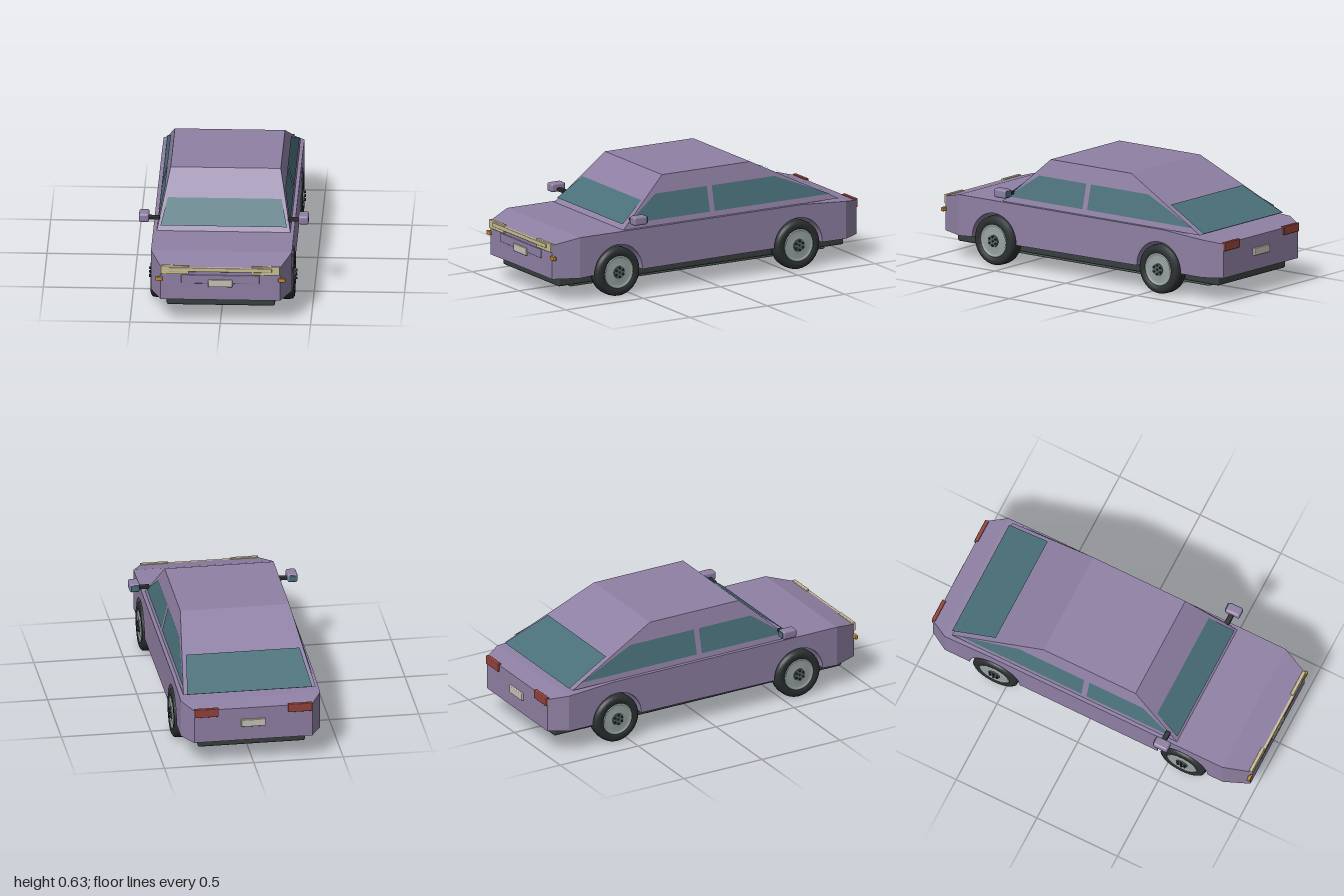
import * as THREE from 'three';
import { RoundedBoxGeometry } from 'three/addons/geometries/RoundedBoxGeometry.js';

const mat = (name, color, side = THREE.FrontSide) => {
  const m = new THREE.MeshStandardMaterial({ color, side });
  m.name = name;
  return m;
};

export function createModel() {
  const car = new THREE.Group();
  car.name = 'car';
  const paint = mat('purple paint', 0x8f80a4);
  const glass = mat('teal glass', 0x4a707a, THREE.DoubleSide);
  const rubber = mat('black rubber', 0x2b3030);
  const dark = mat('dark underbody', 0x383f3e);
  const steel = mat('floor plate', 0x56625f);
  const alloy = mat('grey alloy', 0x98a2a2);
  const cream = mat('cream lamp', 0xc9be94);
  const white = mat('number plate', 0xc6c3b6);
  const orange = mat('orange indicator', 0xc88a38);
  const red = mat('red lamp', 0x94423a);

  const add = (name, geo, material, parent = car) => {
    const m = new THREE.Mesh(geo, material);
    m.name = name;
    parent.add(m);
    return m;
  };
  // Rounded block given by its extents
  const block = (name, material, [x0, x1], [y0, y1], [z0, z1], r = 0.004) => {
    const m = add(name, new RoundedBoxGeometry(x1 - x0, y1 - y0, z1 - z0, 2, r), material);
    m.position.set((x0 + x1) / 2, (y0 + y1) / 2, (z0 + z1) / 2);
    return m;
  };
  // Six-sided solid: rule maps each box corner sign to a point
  const hexa = (rule) => {
    const g = new THREE.BoxGeometry(2, 2, 2).toNonIndexed();
    const p = g.attributes.position;
    for (let i = 0; i < p.count; i++) p.setXYZ(i, ...rule(p.getX(i), p.getY(i) > 0, p.getZ(i) > 0));
    g.computeVertexNormals();
    return g;
  };
  // Flat four-cornered pane
  const pane = (name, corners) => {
    const g = new THREE.BufferGeometry();
    g.setAttribute('position', new THREE.Float32BufferAttribute(corners.flat(), 3));
    g.setIndex([0, 1, 2, 0, 2, 3]);
    g.computeVertexNormals();
    return add(name, g, glass);
  };

  // Lower body with wheel arches
  const axles = [-0.57, 0.593], bottom = 0.135;
  const side = new THREE.Shape();
  side.moveTo(-0.88, bottom);
  for (const z of axles) {
    side.lineTo(z - 0.155, bottom);
    side.absarc(z, 0.14, 0.155, Math.PI, 0, true);
  }
  side.lineTo(0.84, bottom);
  side.lineTo(0.84, 0.367);
  side.lineTo(-0.6, 0.367);
  side.lineTo(-0.88, 0.348);
  const body = new THREE.ExtrudeGeometry(side, { depth: 0.78, bevelEnabled: false, curveSegments: 24 });
  body.rotateY(-Math.PI / 2).translate(0.39, 0, 0);
  add('body', body, paint);

  // Tapered nose and tail
  add('nose', hexa((x, up, front) => front
    ? [x * 0.33, up ? 0.328 : bottom, 0.985]
    : [x * 0.39, up ? 0.367 : bottom, 0.84]), paint);
  add('tail', hexa((x, up, front) => front
    ? [x * 0.39, up ? 0.348 : bottom, -0.88]
    : [x * 0.33, up ? 0.328 : bottom, -0.982]), paint);

  // Cabin
  add('cabin', hexa((x, up, front) => up
    ? [x * 0.305, 0.632, front ? 0.26 : -0.31]
    : [x * 0.37, 0.366, front ? 0.55 : -0.845]), paint);

  // Windscreen, rear window and side windows
  pane('windscreen', [[-0.35, 0.395, 0.542], [0.35, 0.395, 0.542], [0.315, 0.507, 0.4], [-0.315, 0.507, 0.4]]);
  pane('rearWindow', [[0.35, 0.372, -0.855], [-0.35, 0.372, -0.855], [-0.318, 0.497, -0.6], [0.318, 0.497, -0.6]]);
  const sideX = (y) => 0.374 - (y - 0.366) * 0.065 / 0.266;
  for (const s of [-1, 1]) {
    const sidePane = (name, pts) => pane(name, pts.map(([z, y]) => [s * sideX(y), y, z]));
    sidePane('frontSideWindow', [[0.517, 0.398], [-0.013, 0.398], [-0.013, 0.537], [0.319, 0.537]]);
    sidePane('rearSideWindow', [[-0.045, 0.398], [-0.79, 0.398], [-0.45, 0.537], [-0.045, 0.537]]);
  }

  // Underbody
  block('underbody', dark, [-0.3, 0.3], [0.077, 0.15], [-0.92, 0.925], 0.012);
  block('floorPlate', steel, [-0.26, 0.26], [0.055, 0.09], [-0.825, 0.825], 0.012);

  // Front and rear fittings
  block('grilleBar', cream, [-0.285, 0.285], [0.304, 0.328], [0.975, 1]);
  block('frontPanel', paint, [-0.217, 0.217], [0.232, 0.282], [0.975, 0.99]);
  block('frontNumberPlate', white, [-0.068, 0.068], [0.214, 0.257], [0.98, 0.997]);
  block('rearNumberPlate', white, [-0.068, 0.068], [0.218, 0.26], [-0.995, -0.975]);
  for (const s of [-1, 1]) {
    const span = (a, b) => (s > 0 ? [a, b] : [-b, -a]);
    block('headlight', cream, span(0.175, 0.33), [0.287, 0.337], [0.975, 0.995]);
    block('indicator', orange, span(0.32, 0.36), [0.246, 0.268], [0.975, 0.995]);
    block('tailLight', red, span(0.195, 0.33), [0.288, 0.337], [-0.992, -0.97]);
    // Door mirrors
    block('mirrorStalk', rubber, span(0.355, 0.425), [0.414, 0.432], [0.475, 0.505]);
    block('mirrorHousing', paint, span(0.413, 0.47), [0.408, 0.458], [0.45, 0.537], 0.012);
    block('mirrorGlass', glass, span(0.42, 0.463), [0.415, 0.451], [0.446, 0.452], 0.002);
  }

  // Wheels
  const lathe = (pts) => new THREE.LatheGeometry(pts.map(([r, a]) => new THREE.Vector2(r, a)), 32);
  const tyre = lathe([[0, -0.044], [0.122, -0.044], [0.136, -0.034], [0.139, -0.015], [0.139, 0.015],
    [0.136, 0.034], [0.122, 0.044], [0.094, 0.044], [0.09, 0.03]]);
  const rim = lathe([[0.094, 0.03], [0.092, 0.042], [0.084, 0.042], [0.076, 0.034], [0.042, 0.042], [0, 0.042]]);
  const hub = new THREE.CylinderGeometry(0.034, 0.036, 0.012, 20);
  const lug = new THREE.CylinderGeometry(0.006, 0.006, 0.014, 6);
  for (const s of [-1, 1]) for (const z of axles) {
    const wheel = new THREE.Group();
    wheel.name = 'wheel';
    add('tyre', tyre, rubber, wheel);
    add('rim', rim, alloy, wheel);
    add('hub', hub, steel, wheel).position.y = 0.042;
    add('hubCap', lug, rubber, wheel).position.y = 0.046;
    for (let i = 0; i < 6; i++) {
      const a = i * Math.PI / 3;
      add('lugNut', lug, rubber, wheel).position.set(0.025 * Math.cos(a), 0.049, 0.025 * Math.sin(a));
    }
    wheel.rotation.z = -s * Math.PI / 2;
    wheel.position.set(s * 0.354, 0.139, z);
    car.add(wheel);
  }
  return car;
}
